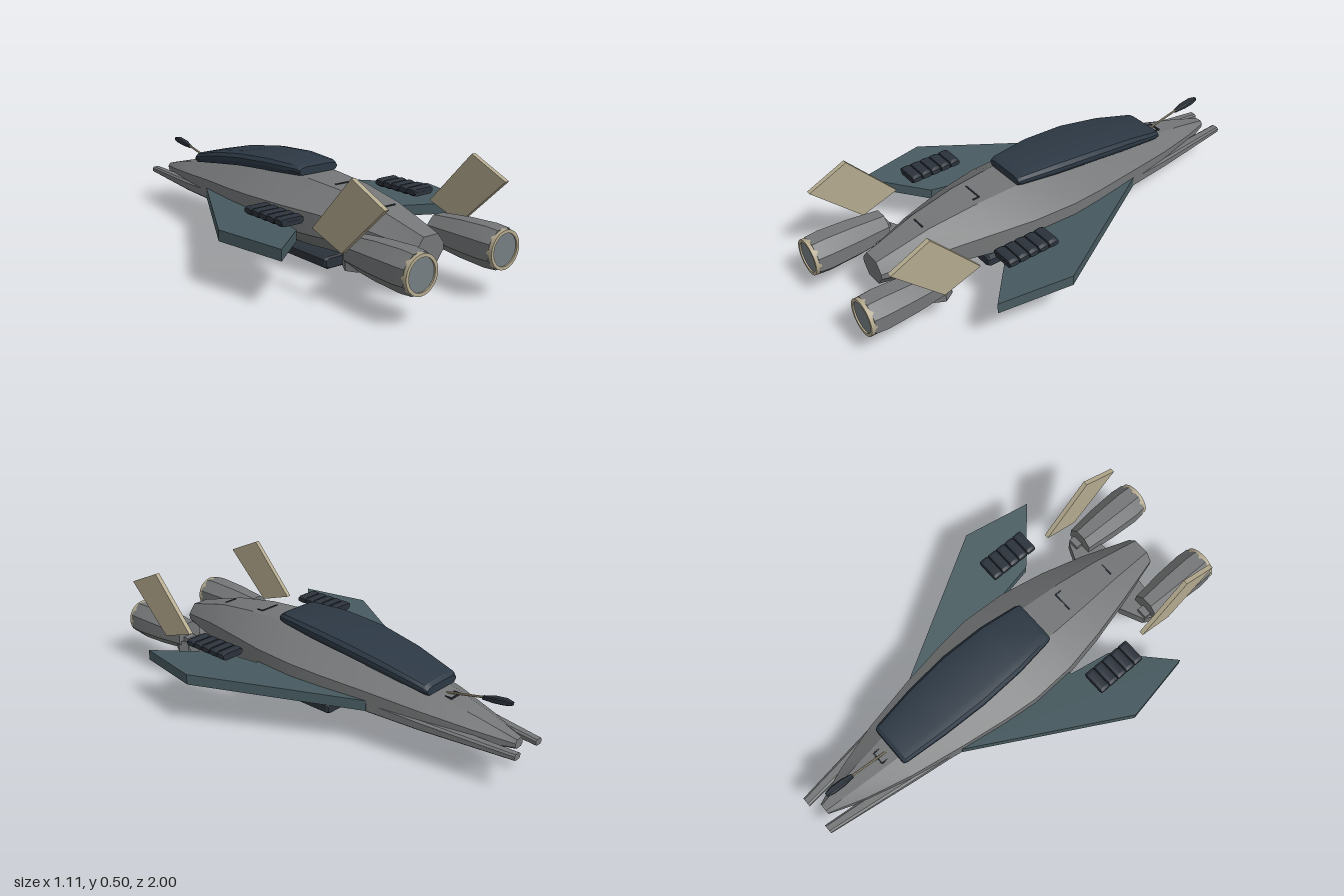
import * as THREE from 'three';
import { toCreasedNormals } from 'three/addons/utils/BufferGeometryUtils.js';

// Skin over a list of rings; each ring is [z, [[x, y], ...]] counterclockwise seen from +z
function loft(rings) {
  const n = rings[0][1].length, pos = [], index = [];
  for (const [z, pts] of rings) for (const [x, y] of pts) pos.push(x, y, z);
  for (let i = 0; i < rings.length - 1; i++) {
    for (let j = 0; j < n; j++) {
      const a = i * n + j, b = i * n + (j + 1) % n;
      index.push(a, b, b + n, a, b + n, a + n);
    }
  }
  const last = (rings.length - 1) * n;
  for (let j = 1; j < n - 1; j++) {
    index.push(0, j + 1, j, last, last + j, last + j + 1);
  }
  const g = new THREE.BufferGeometry();
  g.setAttribute('position', new THREE.Float32BufferAttribute(pos, 3));
  g.setIndex(index);
  return g;
}

// Eight-sided section with chamfered corners
const octagon = (cx, cy, w, h, cw, ch) => [
  [cx + w, cy - h + ch], [cx + w, cy + h - ch], [cx + w - cw, cy + h], [cx - w + cw, cy + h],
  [cx - w, cy + h - ch], [cx - w, cy - h + ch], [cx - w + cw, cy - h], [cx + w - cw, cy - h]];

// Flat outline pushed to a thickness
function plate(points, depth) {
  const shape = new THREE.Shape(points.map(([x, y]) => new THREE.Vector2(x, y)));
  return new THREE.ExtrudeGeometry(shape, { depth, bevelEnabled: false });
}

function mirrored(geo) {
  const g = geo.clone();
  g.scale(-1, 1, 1);
  const p = g.attributes.position, a = new THREE.Vector3(), b = new THREE.Vector3();
  for (let i = 0; i < p.count; i += 3) {
    a.fromBufferAttribute(p, i + 1);
    b.fromBufferAttribute(p, i + 2);
    p.setXYZ(i + 1, b.x, b.y, b.z);
    p.setXYZ(i + 2, a.x, a.y, a.z);
  }
  return g;
}

export function createModel() {
  const model = new THREE.Group();
  model.name = 'spacecraft';
  const material = (name, color) => {
    const m = new THREE.MeshStandardMaterial({ color });
    m.name = name;
    return m;
  };
  const hullGrey = material('hullGrey', 0x747677);
  const wingTeal = material('wingTeal', 0x475a60);
  const cream = material('cream', 0xb3a98e);
  const glass = material('darkGlass', 0x2c3844);
  const dark = material('darkMetal', 0x2b323b);
  const exhaust = material('exhaustGrey', 0x757e82);

  const add = (name, geo, mat) => {
    const flat = geo.index ? geo.toNonIndexed() : geo;
    const mesh = new THREE.Mesh(toCreasedNormals(flat, 0.45), mat);
    mesh.name = name;
    model.add(mesh);
  };
  const pair = (name, geo, mat) => {
    const flat = geo.index ? geo.toNonIndexed() : geo;
    add(name + 'Left', flat, mat);
    add(name + 'Right', mirrored(flat), mat);
  };

  // Fuselage: z, half width, top half width, bottom, lower edge, upper edge, top
  const hull = [
    [-0.96, 0.025, 0.015, 0.150, 0.160, 0.175, 0.188],
    [-0.80, 0.085, 0.035, 0.132, 0.152, 0.200, 0.230],
    [-0.60, 0.140, 0.055, 0.115, 0.155, 0.225, 0.272],
    [-0.36, 0.186, 0.070, 0.098, 0.165, 0.248, 0.318],
    [-0.15, 0.218, 0.080, 0.085, 0.172, 0.260, 0.345],
    [0.00, 0.233, 0.085, 0.080, 0.175, 0.268, 0.358],
    [0.20, 0.223, 0.085, 0.080, 0.175, 0.270, 0.361],
    [0.40, 0.186, 0.075, 0.090, 0.175, 0.266, 0.348],
    [0.60, 0.136, 0.058, 0.110, 0.180, 0.250, 0.318],
    [0.83, 0.070, 0.037, 0.145, 0.190, 0.212, 0.254]];
  add('fuselage', loft(hull.map(([z, w, t, y0, y1, y2, y3]) => [z, [
    [w, y1], [w, y2], [t, y3], [-t, y3], [-w, y2], [-w, y1], [-t, y0], [t, y0]]])), hullGrey);

  // Twin prongs beside the nose
  pair('noseProng', loft([
    [-1, octagon(0.074, 0.158, 0.020, 0.013, 0.008, 0.006)],
    [-0.6, octagon(0.122, 0.167, 0.028, 0.022, 0.010, 0.008)],
    [-0.25, octagon(0.165, 0.185, 0.032, 0.028, 0.010, 0.008)]]), hullGrey);

  // Canopy: z, half width, bottom, top
  const canopy = [
    [-0.60, 0.092, 0.272, 0.305], [-0.585, 0.100, 0.275, 0.318], [-0.4, 0.122, 0.306, 0.364],
    [-0.2, 0.135, 0.336, 0.396], [0, 0.128, 0.352, 0.410], [0.17, 0.106, 0.362, 0.406],
    [0.19, 0.098, 0.363, 0.396]];
  add('canopy', loft(canopy.map(([z, w, b, t]) => {
    const h = t - b;
    return [z, [[w, b + h * 0.35], [w, b + h * 0.62], [w * 0.9, b + h * 0.88], [w * 0.65, t],
      [-w * 0.65, t], [-w * 0.9, b + h * 0.88], [-w, b + h * 0.62], [-w, b + h * 0.35],
      [-w * 0.9, b], [w * 0.9, b]]];
  })), glass);

  // Swept wings, rising towards the tips
  const wing = plate([[0.15, 0.37], [0.185, 0.37], [0.555, -0.275], [0.5, -0.59],
    [0.27, -0.385], [0.235, -0.2], [0.15, -0.2]].reverse(), 0.045);
  wing.rotateX(-Math.PI / 2);
  const wp = wing.attributes.position;
  for (let i = 0; i < wp.count; i++) {
    wp.setY(i, wp.getY(i) + 0.163 + (wp.getX(i) - 0.18) * 0.1);
  }
  pair('wing', wing, wingTeal);

  // Ribbed vents above the wings
  pair('ventBase', loft([0.222, 0.455].map(z => [z, octagon(0.344, 0.274, 0.048, 0.008, 0.008, 0.004)])), dark);
  for (let i = 0; i < 5; i++) {
    const z = 0.222 + i * 0.0475;
    pair('ventRib' + (i + 1), loft([
      [z, octagon(0.344, 0.282, 0.053, 0.013, 0.012, 0.006)],
      [z + 0.012, octagon(0.344, 0.282, 0.053, 0.018, 0.012, 0.008)],
      [z + 0.030, octagon(0.344, 0.282, 0.053, 0.018, 0.012, 0.008)],
      [z + 0.042, octagon(0.344, 0.282, 0.053, 0.013, 0.012, 0.006)]]), dark);
  }

  // Engine pods
  const ex = 0.215, ey = 0.198;
  const pod = [[0.66, 0.06], [0.80, 0.074], [0.93, 0.080], [0.985, 0.076]];
  pair('enginePod', loft(pod.map(([z, r]) => [z, octagon(ex, ey, r, r, r * 0.586, r * 0.586)])), hullGrey);
  const ring = new THREE.LatheGeometry([[0.064, 0.975], [0.077, 0.975], [0.077, 1], [0.064, 1], [0.064, 0.975]]
    .map(([r, y]) => new THREE.Vector2(r, y)), 32);
  pair('nozzleRing', ring.rotateX(Math.PI / 2).translate(ex, ey, 0), cream);
  pair('exhaustDisc', new THREE.CylinderGeometry(0.066, 0.066, 0.012, 32)
    .rotateX(Math.PI / 2).translate(ex, ey, 0.988), exhaust);

  // Pylons joining the pods to the hull
  pair('pylon', plate([[0.08, -0.58], [0.08, -0.74], [0.16, -0.73], [0.25, -0.71],
    [0.272, -0.67], [0.245, -0.625], [0.145, -0.58]], 0.05).rotateX(-Math.PI / 2).translate(0, 0.132, 0), hullGrey);
  pair('pylonBracket', new THREE.BoxGeometry(0.05, 0.06, 0.08).translate(0.225, 0.17, 0.67), hullGrey);

  // Canted tail fins
  pair('tailFin', plate([[-0.915, 0.423], [-0.70, 0.215], [-0.535, 0.27], [-0.745, 0.5]], 0.02)
    .rotateY(Math.PI / 2).translate(0.297, 0, 0), cream);

  // Slab carried below the belly
  add('bellyPod', loft([
    [-0.08, octagon(0, 0.026, 0.084, 0.020, 0.016, 0.008)],
    [-0.07, octagon(0, 0.026, 0.09, 0.026, 0.018, 0.010)],
    [0.335, octagon(0, 0.026, 0.09, 0.026, 0.018, 0.010)],
    [0.345, octagon(0, 0.026, 0.084, 0.020, 0.016, 0.008)]]), dark);

  // Nose probe with a dark head
  const rod = new THREE.LineCurve3(new THREE.Vector3(0, 0.262, -0.61), new THREE.Vector3(0, 0.308, -0.82));
  add('probeRod', new THREE.TubeGeometry(rod, 1, 0.005, 8), cream);
  add('probeHead', loft([
    [-0.92, octagon(0, 0.318, 0.008, 0.007, 0.003, 0.003)],
    [-0.89, octagon(0, 0.316, 0.015, 0.012, 0.005, 0.004)],
    [-0.84, octagon(0, 0.309, 0.015, 0.012, 0.005, 0.004)],
    [-0.79, octagon(0, 0.300, 0.008, 0.007, 0.003, 0.003)]]), dark);

  // Thin panel seams on the upper hull
  const seam = (x, y, z, w, d) => add('panelSeam', new THREE.BoxGeometry(w, 0.006, d).translate(x, y, z), dark);
  seam(0, 0.352, 0.35, 0.09, 0.006);
  seam(0.045, 0.351, 0.365, 0.005, 0.03);
  seam(0, 0.316, 0.61, 0.06, 0.006);
  seam(0, 0.261, -0.665, 0.06, 0.006);
  for (const s of [-1, 1]) seam(s * 0.028, 0.263, -0.65, 0.005, 0.025);

  return model;
}
